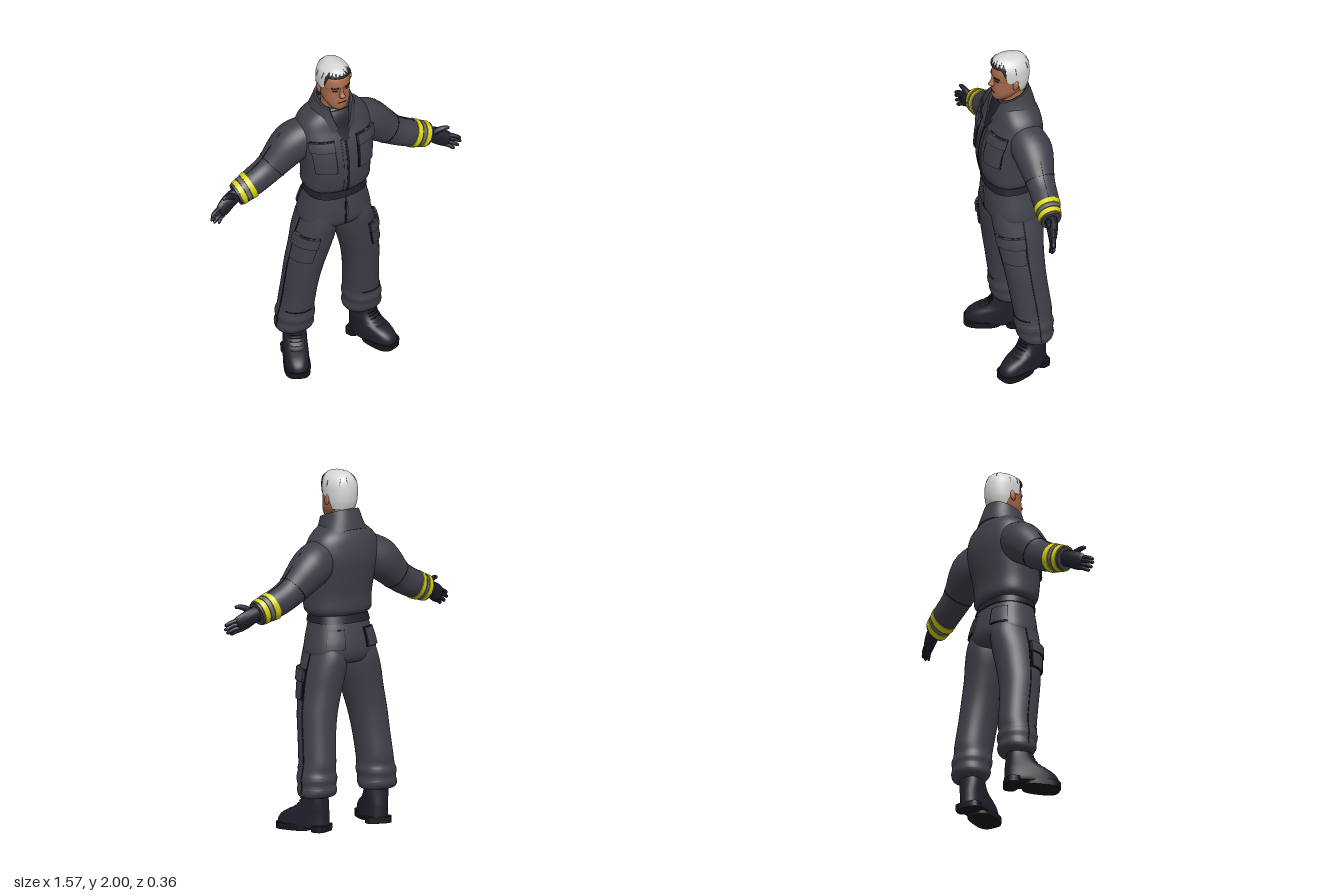
import * as THREE from 'three';
import { toCreasedNormals } from 'three/addons/utils/BufferGeometryUtils.js';

const RAD = Math.PI / 180;
const { lerp, smoothstep } = THREE.MathUtils;
const V = (x, y, z) => new THREE.Vector3(x, y, z);

const mat = (name, color) => Object.assign(new THREE.MeshStandardMaterial({ color, side: THREE.DoubleSide }), { name });
const M = {
  suit: mat('suitCloth', 0x40404a),
  navy: mat('darkNavy', 0x1f1f2b),
  seam: mat('seamBlack', 0x17171c),
  skin: mat('skin', 0xa5694a),
  hair: mat('whiteHair', 0xd6d6d6),
  dark: mat('darkHair', 0x2b2b2e),
  yellow: mat('reflectiveYellow', 0xd9d414),
  silver: mat('reflectiveGrey', 0x6a6a6e),
};

// Smooth surface through rings [x, y, z, ru, rw], listed top to bottom or root to tip.
function surface(rings, { n = 2.3, flat = true } = {}) {
  const path = new THREE.CatmullRomCurve3(rings.map(r => V(r[0], r[1], r[2])), false, 'catmullrom');
  const radii = new THREE.CatmullRomCurve3(rings.map(r => V(r[3], r[4], 0)), false, 'catmullrom');
  const sup = v => Math.sign(v) * Math.pow(Math.abs(v), 2 / n);
  const S = (t, th, lift = 0) => {
    const p = path.getPoint(t), r = radii.getPoint(t);
    const d = flat ? V(0, -1, 0) : path.getTangent(t).setZ(0).normalize();
    const u = sup(Math.cos(th)) * (r.x + lift), w = sup(Math.sin(th)) * (r.y + lift);
    return V(p.x - d.y * u, p.y + d.x * u, p.z + w);
  };
  S.at = y => {
    let lo = 0, hi = 1;
    for (let k = 0; k < 24; k++) {
      const m = (lo + hi) / 2;
      if (path.getPoint(m).y > y) lo = m; else hi = m;
    }
    return (lo + hi) / 2;
  };
  S.path = path;
  S.count = rings.length;
  return S;
}
// Horizontal ring given by its bounds.
const ring = (y, x0, x1, z0, z1) => [(x0 + x1) / 2, y, (z0 + z1) / 2, (x1 - x0) / 2, (z1 - z0) / 2];
const sym = (y, x, z0, z1) => ring(y, -x, x, z0, z1);

// Grid over part of a surface; with a base depth its rim is folded inward.
function patch(S, f, { lift = 0, base = null, ni = 8, nj = 12, caps = false } = {}) {
  const steps = n => {
    const s = Array.from({ length: n + 1 }, (_, i) => [i / n, false]);
    return base === null ? s : [[0, true], ...s, [1, true]];
  };
  const A = steps(ni), B = steps(nj), pos = [], idx = [], w = B.length;
  for (const [a, ea] of A) for (const [b, eb] of B) {
    const [t, th] = f(a, b);
    pos.push(...S(t, th, ea || eb ? base : lift).toArray());
  }
  for (let i = 0; i < A.length - 1; i++) for (let j = 0; j < w - 1; j++) {
    const k = i * w + j;
    idx.push(k, k + 1, k + w, k + 1, k + w + 1, k + w);
  }
  if (caps) for (const end of [0, 1]) {
    const c = pos.length / 3, row = end * (A.length - 1) * w;
    pos.push(...S.path.getPoint(end).toArray());
    for (let j = 0; j < w - 1; j++) idx.push(c, row + j + (end ? 0 : 1), row + j + (end ? 1 : 0));
  }
  const g = new THREE.BufferGeometry();
  g.setAttribute('position', new THREE.Float32BufferAttribute(pos, 3));
  g.setIndex(idx);
  return g;
}
const loft = (S, nj = 36) => patch(S, (a, b) => [a, b * 2 * Math.PI], { ni: (S.count - 1) * 4, nj, caps: true });
const rect = (S, y0, y1, d0, d1) => (a, b) => [lerp(S.at(y0), S.at(y1), a), lerp(d0, d1, b) * RAD];
const plate = (S, y0, y1, d0, d1, lift = 0.005, o = {}) =>
  patch(S, rect(S, y0, y1, d0, d1), { lift, base: -0.004, ...o });

export function createModel() {
  const root = new THREE.Group();
  root.name = 'uniformedMan';
  const add = (name, geo, material, both = false) => {
    const put = (g, n) => {
      const m = new THREE.Mesh(toCreasedNormals(g, 0.75), material);
      m.name = n;
      root.add(m);
    };
    geo.deleteAttribute('uv');
    put(geo, both ? name + 'Left' : name);
    if (!both) return;
    const g = geo.clone().scale(-1, 1, 1), ix = g.index.array;
    for (let i = 0; i < ix.length; i += 3) [ix[i + 1], ix[i + 2]] = [ix[i + 2], ix[i + 1]];
    put(g, name + 'Right');
  };
  // Pocket: dark outline, cloth panel, raised flap
  const pocket = (name, S, y0, y1, d0, d1, flap) => {
    add(name + 'Outline', plate(S, y0 + 0.004, y1 - 0.005, d0 - 2, d1 + 2, 0.006), M.seam, true);
    add(name, plate(S, y0, y1, d0, d1, 0.011), M.suit, true);
    if (!flap) return;
    add(name + 'FlapEdge', plate(S, y0 + 0.005, flap - 0.005, d0 - 2, d1 + 2, 0.014), M.seam, true);
    add(name + 'Flap', plate(S, y0 + 0.005, flap, d0 - 2, d1 + 2, 0.019), M.suit, true);
  };

  // Jacket body
  const torso = surface([
    sym(1.715, 0.09, -0.1, 0.06), sym(1.69, 0.135, -0.12, 0.08), sym(1.65, 0.185, -0.147, 0.098),
    sym(1.6, 0.212, -0.162, 0.115), sym(1.52, 0.22, -0.172, 0.15), sym(1.42, 0.205, -0.16, 0.175),
    sym(1.31, 0.196, -0.14, 0.178), sym(1.225, 0.194, -0.135, 0.163), sym(1.195, 0.17, -0.11, 0.14),
  ], { n: 2.4 });
  add('jacketBody', loft(torso, 48), M.suit);
  add('jacketPlacket', plate(torso, 1.55, 1.2, 85, 95, 0.004), M.suit);
  add('jacketZip', plate(torso, 1.54, 1.2, 89, 91, 0.006), M.seam);
  add('undershirtOpening', patch(torso, (a, b) =>
    [lerp(torso.at(1.705), torso.at(1.53), a), (90 + (b - 0.5) * lerp(56, 2, a)) * RAD], { lift: 0.005, base: -0.004 }), M.navy);
  pocket('chestPocket', torso, 1.55, 1.36, 35, 74, 1.5);

  // Raised open collar, sloping down to the front
  const collar = surface([sym(1.76, 0.104, -0.104, 0.098), sym(1.7, 0.122, -0.122, 0.11), sym(1.635, 0.15, -0.138, 0.122)]);
  const strip = (g0, g1, a0, a1, lift) => {
    const g = patch(collar, (a, b) => {
      const gap = lerp(g0, g1, a);
      return [lerp(a0, a1, a), lerp(90 + gap, 450 - gap, b) * RAD];
    }, { lift, base: lift - 0.008, nj: 40 });
    const p = g.attributes.position;
    for (let i = 0; i < p.count; i++) p.setY(i, p.getY(i) - 0.35 * p.getZ(i));
    return g;
  };
  add('collar', strip(38, 5, 0, 1, 0), M.suit);
  add('collarLining', strip(38, 10, 0, 0.9, -0.008), M.navy);

  // Sleeves with reflective cuffs
  const arm = surface([
    [0.13, 1.545, -0.03, 0.1, 0.1], [0.24, 1.482, -0.048, 0.114, 0.112], [0.375, 1.365, -0.045, 0.086, 0.08],
    [0.48, 1.308, -0.038, 0.08, 0.074], [0.55, 1.28, -0.029, 0.073, 0.065], [0.6, 1.262, -0.024, 0.068, 0.058],
  ], { n: 2.1, flat: false });
  add('sleeve', loft(arm), M.suit, true);
  const band = (t0, t1, d0, d1, lift) =>
    patch(arm, (a, b) => [lerp(t0, t1, a), lerp(d0, d1, b) * RAD], { lift, base: -0.002, ni: 4, nj: 32 });
  add('innerCuffStripe', band(0.655, 0.74, 0, 360, 0.005), M.yellow, true);
  add('cuffMiddleStripe', band(0.76, 0.82, 0, 360, 0.004), M.silver, true);
  add('outerCuffStripe', band(0.84, 0.95, 0, 360, 0.005), M.yellow, true);
  add('sleeveSeam', band(0.2, 0.64, -1, 1, 0.002), M.seam, true);
  add('elbowSeam', band(0.375, 0.382, 0, 360, 0.002), M.seam, true);

  // Gloves: palm, four fingers and thumb
  const tube = rings => loft(surface(rings, { n: 2, flat: false }), 14);
  add('glovePalm', tube([
    [0.575, 1.272, -0.024, 0.045, 0.038], [0.63, 1.252, -0.018, 0.047, 0.034], [0.675, 1.226, -0.006, 0.05, 0.027],
    [0.71, 1.207, 0.006, 0.043, 0.019], [0.72, 1.202, 0.008, 0.015, 0.008],
  ]), M.navy, true);
  const fingers = [
    [0.7, 1.238, 0.782, 1.207, 0.03], [0.7, 1.218, 0.785, 1.184, 0.03],
    [0.693, 1.197, 0.768, 1.163, 0.032], [0.682, 1.183, 0.74, 1.153, 0.034],
  ];
  fingers.forEach(([x0, y0, x1, y1, z1], i) => add('gloveFinger' + (i + 1), tube([
    [x0, y0, 0, 0.013, 0.015], [(x0 + x1) / 2, (y0 + y1) / 2 + 0.004, 0.014, 0.012, 0.013],
    [lerp(x0, x1, 0.9), lerp(y0, y1, 0.9), z1 - 0.004, 0.01, 0.01], [x1, y1, z1, 0.003, 0.003],
  ]), M.navy, true));
  add('gloveThumb', tube([
    [0.61, 1.262, -0.01, 0.02, 0.02], [0.645, 1.29, 0.008, 0.018, 0.018], [0.68, 1.304, 0.02, 0.014, 0.014],
    [0.704, 1.304, 0.027, 0.01, 0.01], [0.71, 1.303, 0.029, 0.003, 0.003],
  ]), M.navy, true);

  // Belt, hips and fly
  const hips = surface([
    sym(1.2, 0.16, -0.11, 0.138), sym(1.12, 0.18, -0.135, 0.148), sym(1.04, 0.201, -0.155, 0.152),
    sym(0.98, 0.208, -0.155, 0.146), sym(0.935, 0.17, -0.13, 0.11), sym(0.92, 0.08, -0.06, 0.05),
  ], { n: 2.5 });
  add('trouserHips', loft(hips, 44), M.suit);
  add('belt', plate(hips, 1.21, 1.155, 0, 360, 0.008, { nj: 44 }), M.navy);
  add('flySeam', plate(hips, 1.15, 0.97, 89.2, 90.8, 0.003), M.seam);
  add('flyZip', plate(hips, 1.15, 1.03, 88.6, 89.4, 0.006), M.silver);
  pocket('backPocket', hips, 1.12, 1.02, 288, 322);

  // Trouser legs with cargo pockets and gathered hems
  const leg = surface([
    ring(1.06, 0.02, 0.185, -0.12, 0.13), ring(0.97, 0.002, 0.212, -0.15, 0.14), ring(0.88, 0.006, 0.24, -0.148, 0.13),
    ring(0.78, 0.032, 0.258, -0.14, 0.115), ring(0.65, 0.068, 0.28, -0.14, 0.092), ring(0.52, 0.092, 0.288, -0.152, 0.07),
    ring(0.39, 0.103, 0.298, -0.168, 0.05), ring(0.335, 0.104, 0.308, -0.166, 0.042), ring(0.3, 0.098, 0.318, -0.176, 0.046),
    ring(0.26, 0.105, 0.315, -0.17, 0.035), ring(0.23, 0.1, 0.322, -0.174, 0.033), ring(0.2, 0.11, 0.315, -0.158, 0.015),
    ring(0.19, 0.14, 0.285, -0.125, 0.0),
  ], { n: 2.2 });
  add('trouserLeg', loft(leg), M.suit, true);
  pocket('cargoPocket', leg, 0.895, 0.735, 4, 74, 0.835);
  add('legSideSeam', plate(leg, 0.99, 0.22, -1.2, 1.2, 0.003, { ni: 32, nj: 2 }), M.seam, true);
  add('kneeSeam', plate(leg, 0.356, 0.35, 25, 115, 0.003, { ni: 2 }), M.seam, true);

  // Boots, turned outward
  const foot = g => g.rotateY(0.38).translate(0.215, 0, -0.055);
  const boot = surface([
    sym(0.23, 0.062, -0.072, 0.065), sym(0.17, 0.066, -0.076, 0.078), sym(0.13, 0.067, -0.08, 0.115),
    sym(0.1, 0.069, -0.083, 0.18), sym(0.07, 0.071, -0.084, 0.216), sym(0.035, 0.072, -0.085, 0.228), sym(0.02, 0.07, -0.083, 0.226),
  ], { n: 2.5 });
  add('boot', foot(loft(boot)), M.navy, true);
  [0.185, 0.168, 0.151, 0.135, 0.121].forEach((y, i) =>
    add('bootLace' + (i + 1), foot(plate(boot, y, y - 0.006, 62, 118, 0.005, { ni: 2 })), M.seam, true));
  const soleBlock = (z0, z1) => foot(loft(surface([sym(0.036, 0.075, z0, z1), sym(0, 0.073, z0, z1)], { n: 3 })));
  add('bootSoleFront', soleBlock(0.02, 0.232), M.seam, true);
  add('bootHeel', soleBlock(-0.087, -0.002), M.seam, true);

  // Neck and head
  add('neck', loft(surface([sym(1.82, 0.06, -0.075, 0.04), sym(1.69, 0.064, -0.08, 0.048)])), M.skin);
  add('undershirtNeck', loft(surface([sym(1.705, 0.069, -0.085, 0.056), sym(1.64, 0.08, -0.09, 0.085)])), M.navy);
  const head = surface([
    sym(1.97, 0.05, -0.06, 0.055), sym(1.93, 0.082, -0.095, 0.088), sym(1.885, 0.087, -0.1, 0.101),
    sym(1.855, 0.085, -0.098, 0.096), sym(1.815, 0.081, -0.085, 0.1), sym(1.78, 0.074, -0.06, 0.103),
    sym(1.745, 0.054, -0.02, 0.103), sym(1.722, 0.03, 0.02, 0.09),
  ], { n: 2.2 });
  add('head', loft(head), M.skin);
  add('nose', loft(surface([
    sym(1.88, 0.009, 0.08, 0.101), sym(1.845, 0.011, 0.08, 0.113), sym(1.824, 0.018, 0.08, 0.126), sym(1.81, 0.013, 0.08, 0.11),
  ]), 16), M.skin);
  add('ear', new THREE.SphereGeometry(1, 14, 10).scale(0.01, 0.031, 0.018).rotateX(-0.15).translate(0.09, 1.842, -0.005), M.skin, true);
  add('eyebrow', plate(head, 1.882, 1.873, 51, 79, 0.003), M.dark, true);
  add('eye', plate(head, 1.859, 1.852, 57, 75, 0.002), M.dark, true);
  add('mouth', plate(head, 1.781, 1.777, 70, 110, 0.002), M.seam);

  // Short white hair with a dark, ragged hairline
  const hair = surface([
    sym(2, 0.014, -0.035, 0.03), sym(1.99, 0.045, -0.068, 0.07), sym(1.965, 0.075, -0.096, 0.099),
    sym(1.93, 0.091, -0.109, 0.104), sym(1.88, 0.093, -0.113, 0.101), sym(1.83, 0.089, -0.108, 0.09), sym(1.785, 0.077, -0.092, 0.06),
  ], { n: 2.1 });
  const hairline = th => {
    const s = Math.sin(th);
    return 1.79 + 0.07 * smoothstep(s, -0.28, -0.05) + 0.085 * smoothstep(s, 0.35, 0.7);
  };
  add('hair', patch(hair, (a, b) => {
    const th = b * 2 * Math.PI;
    return [a * hair.at(hairline(th)), th];
  }, { base: -0.02, ni: 20, nj: 72 }), M.hair);
  add('hairlineShade', patch(hair, (a, b) => {
    const th = lerp(28, 152, b) * RAD;
    const top = Math.max(hairline(th) + 0.012, 1.962 + 0.012 * Math.sin(th * 23));
    return [lerp(hair.at(top), hair.at(hairline(th)), a), th];
  }, { lift: 0.003, base: -0.018, nj: 56 }), M.dark);
  for (let i = 0; i < 9; i++) {
    const d = 70 + i * 40 + (i % 3) * 7, y = 1.985 - (i % 4) * 0.012;
    add('hairStreak' + (i + 1), plate(hair, y, y - 0.035, d, d + 2, 0.002, { nj: 2 }), M.silver);
  }
  return root;
}
